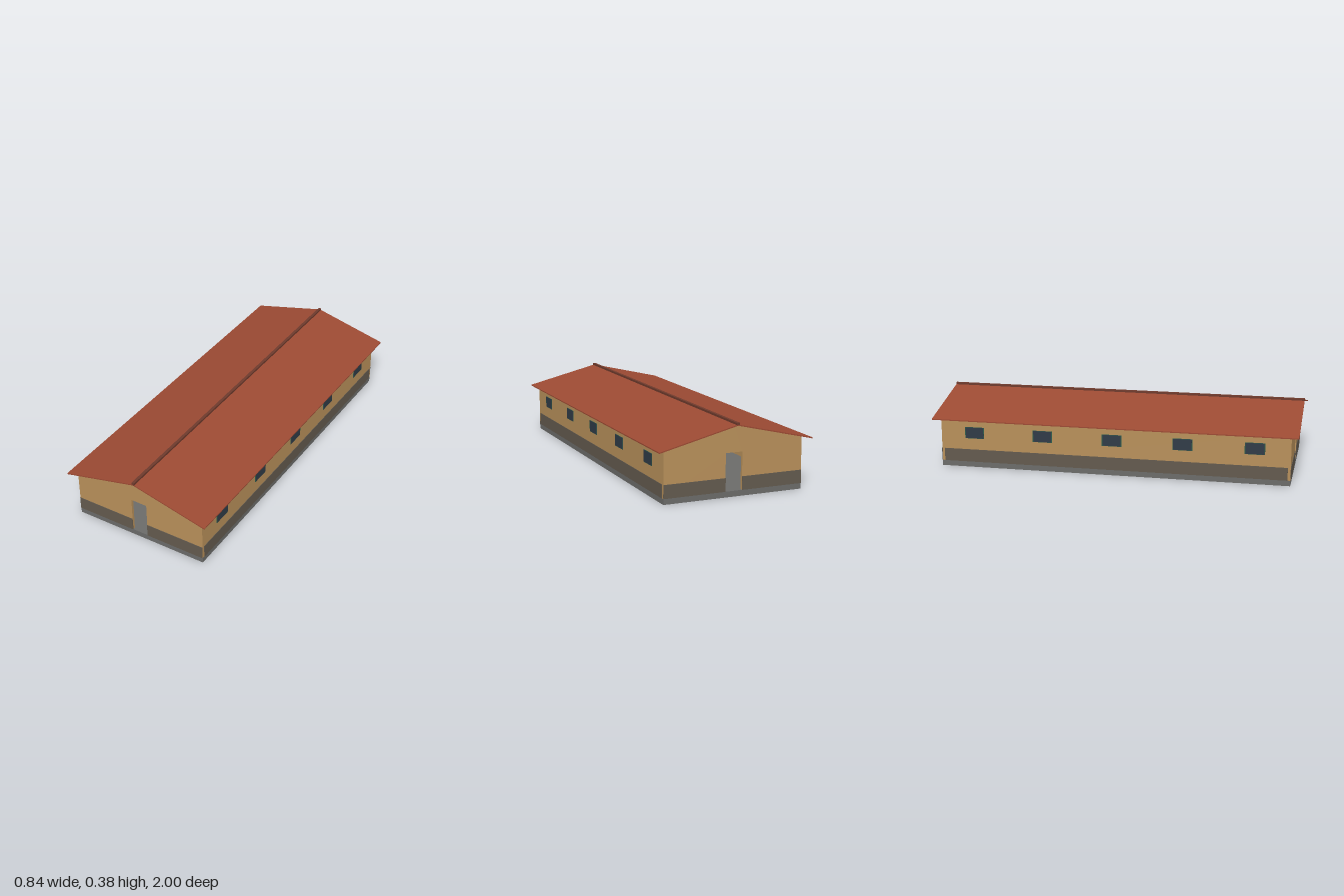
import * as THREE from 'three';

const mat = (color) => new THREE.MeshStandardMaterial({ color, flatShading: true });
const MATS = {
  wall: mat(0xb8905a), dado: mat(0x635a4e), base: mat(0x6b6b69),
  roof: mat(0x9c4a33), ridge: mat(0x6e3a2c), frame: mat(0x2c5c4a), glass: mat(0x2f3a46),
};

const HW = 0.383, HL = 0.96, T = 0.015;   // half width, half length, wall thickness
const FLOOR = 0.03, DADO = 0.1, DOOR = 0.046;
const PEAK = 0.369, SLOPE = 0.24, EAVE = 0.422, ROOF_T = 0.006;
const underside = (x) => PEAK - SLOPE * Math.abs(x);

export function createModel() {
  const group = new THREE.Group();

  const add = (name, geometry, material, x = 0, y = 0, z = 0) => {
    const mesh = new THREE.Mesh(geometry, material);
    mesh.name = name;
    mesh.position.set(x, y, z);
    group.add(mesh);
    return mesh;
  };
  const box = (name, material, w, h, d, x, y, z) =>
    add(name, new THREE.BoxGeometry(w, h, d), material, x, y, z);
  const extrude = (points, depth) => {
    const shape = new THREE.Shape(points.map(([x, y]) => new THREE.Vector2(x, y)));
    return new THREE.ExtrudeGeometry(shape, { depth, bevelEnabled: false }).translate(0, 0, -depth / 2);
  };
  // Gabled wall with a doorway notched out of its foot
  const gable = (halfWidth, doorTop) => extrude([
    [-halfWidth, FLOOR], [-DOOR, FLOOR], [-DOOR, doorTop], [DOOR, doorTop], [DOOR, FLOOR],
    [halfWidth, FLOOR], [halfWidth, underside(halfWidth)], [0, PEAK], [-halfWidth, underside(halfWidth)],
  ], T);

  // Floor slab
  box('foundation', MATS.base, 2 * HW, FLOOR, 2 * HL, 0, FLOOR / 2, 0);

  // End walls with open doorways, and their stone dado
  const dadoH = DADO - FLOOR, dadoY = (DADO + FLOOR) / 2;
  for (const end of [1, -1]) {
    const name = end > 0 ? 'front' : 'back';
    add(`${name}Wall`, gable(HW, 0.227), MATS.wall, 0, 0, end * (HL - T / 2));
    for (const side of [1, -1]) {
      box(`${name}Dado`, MATS.dado, HW - DOOR, dadoH, 0.004,
        side * (HW + DOOR) / 2, dadoY, end * (HL + 0.0005));
    }
    // Inner partition with a lower doorway
    add('partition', gable(HW - T, 0.17), MATS.wall, 0, 0, end * 0.19);
  }

  // Side walls, dado and windows
  for (const side of [1, -1]) {
    const name = side > 0 ? 'left' : 'right';
    const wall = extrude([
      [side * (HW - T), FLOOR], [side * HW, FLOOR],
      [side * HW, underside(HW)], [side * (HW - T), underside(HW - T)],
    ], 2 * (HL - T));
    add(`${name}Wall`, wall, MATS.wall);
    box(`${name}Dado`, MATS.dado, 0.004, dadoH, 2 * (HL - T), side * (HW + 0.0005), dadoY, 0);

    for (let i = -2; i <= 2; i++) {
      const x = side * (HW - T / 2), z = i * 0.385;
      box('windowFrame', MATS.frame, T + 0.004, 0.064, 0.108, x, 0.195, z);
      box('windowGlass', MATS.glass, T + 0.006, 0.06, 0.1, x, 0.195, z);
    }

    // Roof slope
    const slope = extrude([
      [0, PEAK], [side * EAVE, underside(EAVE)],
      [side * EAVE, underside(EAVE) + ROOF_T], [0, PEAK + ROOF_T],
    ], 2);
    add(`${name}Roof`, slope, MATS.roof);
  }

  // Ridge cap
  box('ridgeCap', MATS.ridge, 0.016, 0.014, 2, 0, 0.377, 0);

  return group;
}
